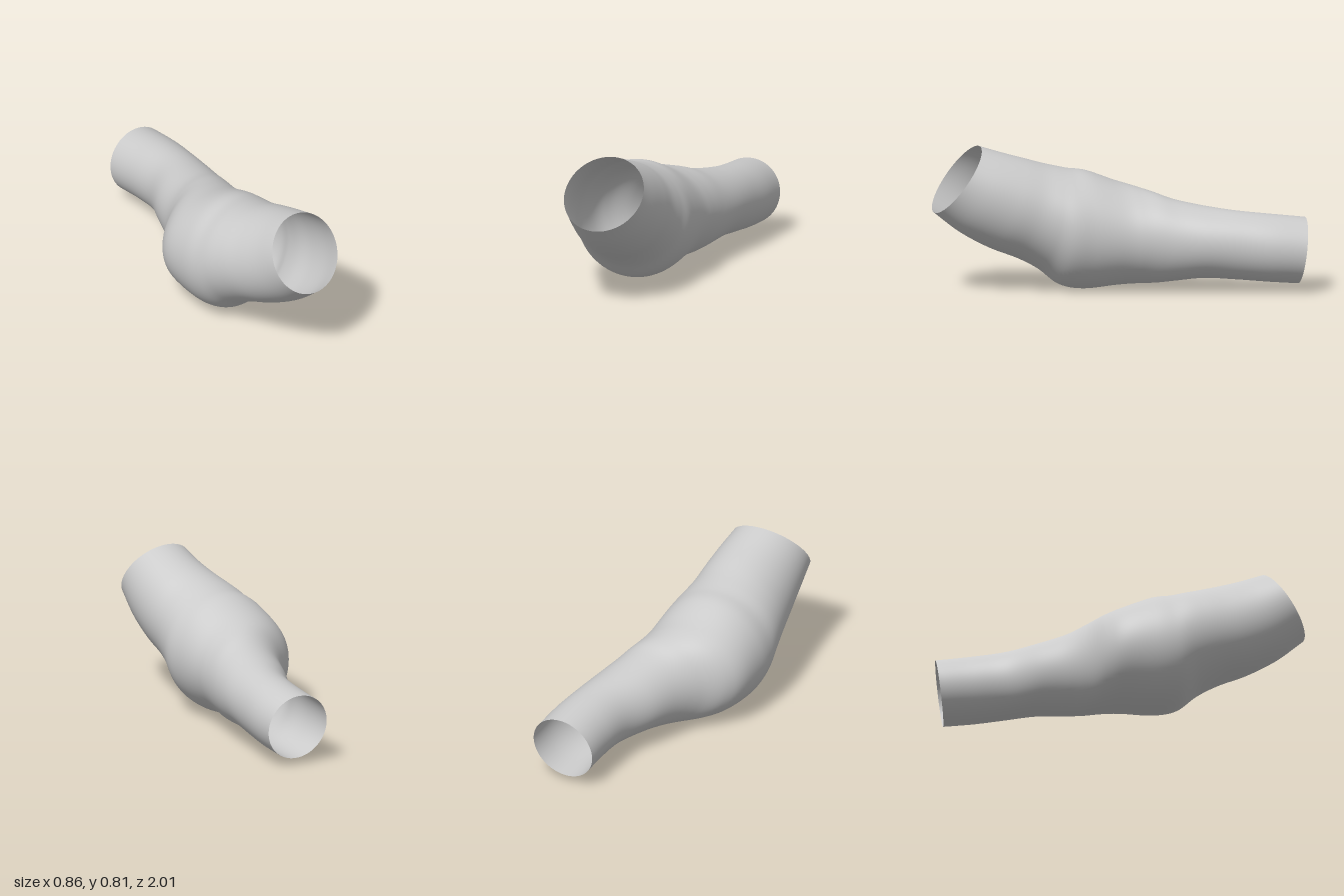
import * as THREE from 'three';

// Cross-sections from front to back:
// [zTop, yTop, zBottom, yBottom, xRight, xLeft]
const SECTIONS = [
  [0.75, 0.81, 1.0, 0.445, -0.37, 0.07],
  [0.62, 0.77, 0.86, 0.335, -0.375, 0.105],
  [0.5, 0.735, 0.7, 0.245, -0.39, 0.13],
  [0.4, 0.705, 0.54, 0.18, -0.41, 0.147],
  [0.32, 0.685, 0.42, 0.115, -0.425, 0.172],
  [0.25, 0.67, 0.31, 0.03, -0.432, 0.2],
  [0.15, 0.655, 0.18, 0.003, -0.428, 0.21],
  [0, 0.6, 0, 0.02, -0.4, 0.225],
  [-0.1, 0.57, -0.1, 0.03, -0.34, 0.245],
  [-0.2, 0.54, -0.2, 0.04, -0.23, 0.27],
  [-0.3, 0.505, -0.3, 0.055, -0.155, 0.298],
  [-0.45, 0.473, -0.45, 0.073, -0.08, 0.338],
  [-0.62, 0.448, -0.62, 0.067, 0.01, 0.375],
  [-0.8, 0.428, -0.79, 0.053, 0.045, 0.41],
  [-1.0, 0.405, -0.955, 0.04, 0.06, 0.43],
];

// Point on an elliptical section, leaning with its tilt and turned at the back
function sectionPoint([zT, yT, zB, yB, xR, xL], angle) {
  const c = Math.cos(angle), s = Math.sin(angle);
  const z = (zT + zB) / 2;
  const lean = 0.08 * (zB - zT);
  const yaw = 0.017 * THREE.MathUtils.smoothstep(-z, 0.65, 0.98);
  return new THREE.Vector3(
    (xR + xL) / 2 + (xL - xR) / 2 * c + lean * s,
    (yT + yB) / 2 + (yT - yB) / 2 * s,
    z + (zT - zB) / 2 * s + yaw * c
  );
}

// Smooth open skin lofted through the sections
function loftTube(sections, around, along) {
  const positions = [], index = [];
  for (let j = 0; j < around; j++) {
    const angle = (j / around) * Math.PI * 2;
    const line = new THREE.CatmullRomCurve3(
      sections.map((s) => sectionPoint(s, angle)), false, 'catmullrom', 0.5);
    for (let i = 0; i <= along; i++) positions.push(...line.getPoint(i / along).toArray());
  }
  const id = (i, j) => (j % around) * (along + 1) + i;
  for (let j = 0; j < around; j++) {
    for (let i = 0; i < along; i++) {
      const a = id(i, j), b = id(i, j + 1), c = id(i + 1, j), d = id(i + 1, j + 1);
      index.push(a, c, b, b, c, d);
    }
  }
  const geometry = new THREE.BufferGeometry();
  geometry.setAttribute('position', new THREE.Float32BufferAttribute(positions, 3));
  geometry.setIndex(index);
  geometry.computeVertexNormals();
  return geometry;
}

export function createModel() {
  const group = new THREE.Group();
  group.name = 'bulgedTube';
  // Single thin wall, open at both ends
  const wall = new THREE.Mesh(
    loftTube(SECTIONS, 80, 98),
    new THREE.MeshStandardMaterial({ color: 0xcccccc, side: THREE.DoubleSide })
  );
  wall.name = 'tubeWall';
  group.add(wall);
  return group;
}
